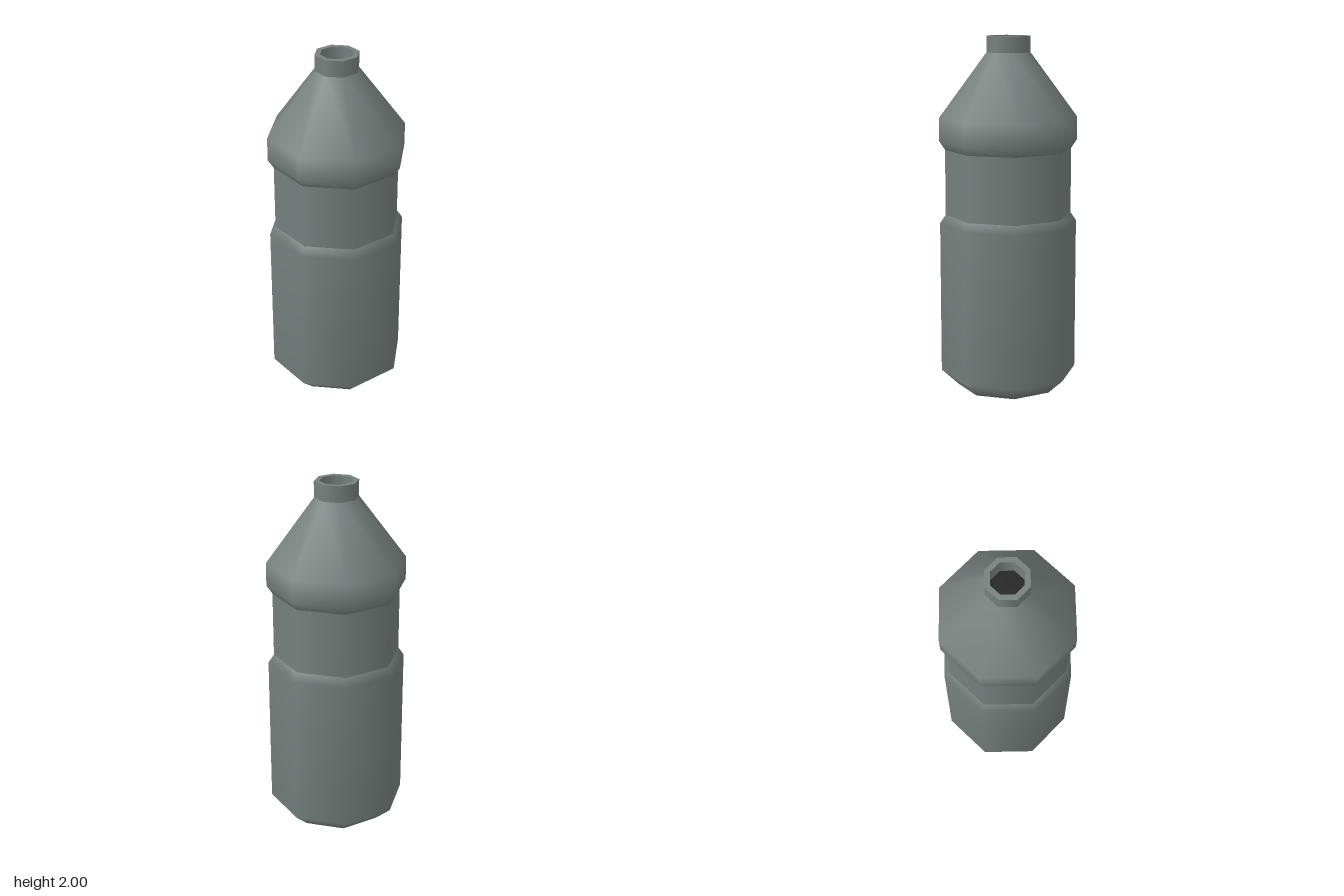
import * as THREE from 'three';

export function createModel() {
  const group = new THREE.Group();
  group.name = 'bottle';
  const SIDES = 8;

  const body = new THREE.MeshStandardMaterial({ color: 0x76817e });
  body.name = 'greyGreen';
  const dark = new THREE.MeshStandardMaterial({ color: 0x222222 });
  dark.name = 'darkInside';

  // Each section is smooth in itself; section borders stay sharp
  const section = (name, profile) => {
    const points = profile.map(([r, y]) => new THREE.Vector2(r, y));
    const mesh = new THREE.Mesh(new THREE.LatheGeometry(points, SIDES), body);
    mesh.name = name;
    group.add(mesh);
  };

  section('lowerBody', [[0, 0], [0.29, 0], [0.388, 0.09], [0.388, 0.955], [0.356, 1.003]]);
  section('gripBand', [[0.356, 1.003], [0.356, 1.372]]);
  section('shoulder', [[0.356, 1.372], [0.388, 1.42], [0.388, 1.55], [0.122, 1.91]]);
  section('neck', [[0.122, 1.91], [0.122, 2]]);
  section('rim', [[0.122, 2], [0.092, 2]]);
  section('neckInside', [[0.092, 2], [0.092, 1.9]]);

  // Dark opening closing the neck
  const opening = new THREE.Mesh(new THREE.CircleGeometry(0.092, SIDES), dark);
  opening.name = 'opening';
  opening.rotation.x = -Math.PI / 2;
  opening.position.y = 1.9;
  group.add(opening);

  return group;
}
